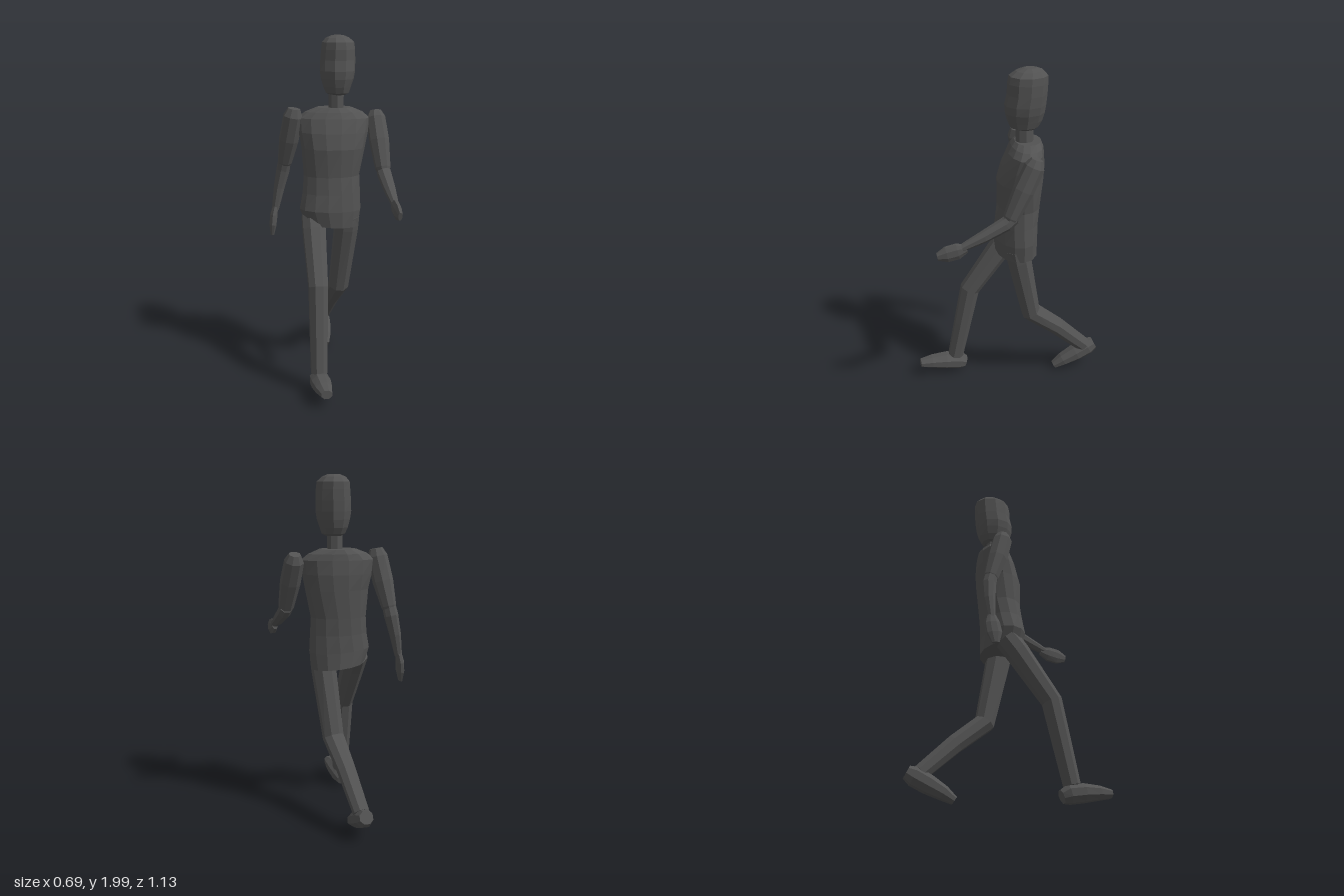
import * as THREE from 'three';

const V = (x, y, z) => new THREE.Vector3(x, y, z);

// Skin a closed, faceted tube through rings { c, a, b }: centre plus two half-axis vectors
function skin(rings, sides, phase) {
  const pos = [], idx = [], n = rings.length;
  for (const { c, a, b, tilt = 0 } of rings) {
    for (let j = 0; j < sides; j++) {
      const t = phase + (j / sides) * Math.PI * 2;
      const p = c.clone().addScaledVector(a, Math.cos(t)).addScaledVector(b, Math.sin(t));
      p.y += tilt * (p.x - c.x);
      pos.push(p.x, p.y, p.z);
    }
  }
  pos.push(...rings[0].c.toArray(), ...rings[n - 1].c.toArray());
  const first = n * sides, last = first + 1;
  for (let j = 0; j < sides; j++) {
    const k = (j + 1) % sides;
    for (let i = 0; i < n - 1; i++) {
      const p = i * sides, q = p + sides;
      idx.push(p + j, p + k, q + k, p + j, q + k, q + j);
    }
    const e = (n - 1) * sides;
    idx.push(first, k, j, last, e + j, e + k);
  }
  const g = new THREE.BufferGeometry();
  g.setAttribute('position', new THREE.Float32BufferAttribute(pos, 3));
  g.setIndex(idx);
  const flat = g.toNonIndexed();
  flat.computeVertexNormals();
  return flat;
}

// Eight-sided limb; points are [x, y, z, half width, half thickness], rings square to the path
function limb(points) {
  const c = points.map(p => V(p[0], p[1], p[2]));
  const k = 1 / Math.cos(Math.PI / 8);
  const rings = points.map((p, i) => {
    const t = V(0, 0, 0);
    if (i > 0) t.add(c[i].clone().sub(c[i - 1]).normalize());
    if (i < c.length - 1) t.add(c[i + 1].clone().sub(c[i]).normalize());
    t.normalize();
    const a = V(1, 0, 0).addScaledVector(t, -t.x).normalize();
    const b = t.clone().cross(a);
    return { c: c[i], a: a.multiplyScalar(p[3] * k), b: b.multiplyScalar((p[4] ?? p[3]) * k) };
  });
  return skin(rings, 8, Math.PI / 8);
}

// Body of level rings, listed upward: [y, x min, x max, z back, z front, yaw, tilt]
function stack(levels, sides) {
  return skin(levels.map(([y, x0, x1, z0, z1, yaw = 0, tilt = 0]) => {
    const a = V((x1 - x0) / 2, 0, 0), b = V(0, 0, -(z1 - z0) / 2), up = V(0, 1, 0);
    return {
      c: V((x0 + x1) / 2, y, (z0 + z1) / 2), tilt,
      a: a.applyAxisAngle(up, yaw), b: b.applyAxisAngle(up, yaw),
    };
  }), sides, 0);
}

export function createModel() {
  const group = new THREE.Group();
  group.name = 'walkingFigure';
  const grey = new THREE.MeshStandardMaterial({ color: 0x525252, flatShading: true });
  grey.name = 'dark grey';
  const add = (name, geometry) => {
    const m = new THREE.Mesh(geometry, grey);
    m.name = name;
    group.add(m);
  };

  // Torso: hips turn one way, shoulders the other
  add('torso', stack([
    [0.905, -0.145, 0.175, -0.15, 0.09, 0.1, -0.08],
    [1.0, -0.18, 0.19, -0.15, 0.1, 0.1, -0.04],
    [1.1, -0.16, 0.185, -0.155, 0.09, 0.05],
    [1.2, -0.15, 0.18, -0.165, 0.08, 0],
    [1.36, -0.16, 0.21, -0.18, 0.085, -0.1],
    [1.45, -0.175, 0.23, -0.185, 0.06, -0.12],
    [1.53, -0.18, 0.24, -0.18, 0.025, -0.12],
    [1.565, -0.135, 0.2, -0.175, 0.005, -0.1],
    [1.59, -0.07, 0.14, -0.165, -0.015, -0.1],
  ], 14));

  // Neck and head
  add('neck', stack([
    [1.56, 0, 0.09, -0.12, -0.02],
    [1.7, 0, 0.09, -0.12, -0.02],
  ], 8));
  add('head', stack([
    [1.663, 0.01, 0.1, -0.13, -0.02],
    [1.675, -0.015, 0.12, -0.145, 0.015],
    [1.71, -0.03, 0.132, -0.165, 0.03],
    [1.755, -0.043, 0.148, -0.178, 0.042],
    [1.8, -0.05, 0.156, -0.185, 0.045],
    [1.86, -0.046, 0.158, -0.19, 0.032],
    [1.92, -0.04, 0.157, -0.193, 0.03],
    [1.96, -0.035, 0.152, -0.193, 0.022],
    [1.985, -0.012, 0.125, -0.17, -0.015],
    [2.0, 0.025, 0.09, -0.13, -0.06],
  ], 10));

  // Left arm swings forward
  add('leftUpperArm', limb([
    [0.28, 1.565, -0.085, 0.032], [0.281, 1.525, -0.07, 0.052],
    [0.29, 1.4, -0.01, 0.055], [0.3, 1.25, 0.06, 0.042], [0.302, 1.215, 0.078, 0.03],
  ]));
  add('leftForearm', limb([
    [0.302, 1.25, 0.045, 0.036], [0.304, 1.215, 0.09, 0.038],
    [0.308, 1.155, 0.21, 0.032], [0.311, 1.1, 0.335, 0.02],
  ]));
  add('leftHand', limb([
    [0.311, 1.095, 0.31, 0.016, 0.024], [0.311, 1.082, 0.36, 0.022, 0.045],
    [0.311, 1.07, 0.42, 0.02, 0.045], [0.311, 1.06, 0.472, 0.011, 0.022],
  ]));

  // Right arm hangs behind
  add('rightUpperArm', limb([
    [-0.198, 1.585, -0.08, 0.035], [-0.205, 1.54, -0.085, 0.054],
    [-0.228, 1.4, -0.12, 0.055], [-0.25, 1.26, -0.162, 0.04], [-0.254, 1.235, -0.17, 0.03],
  ]));
  add('rightForearm', limb([
    [-0.25, 1.27, -0.16, 0.036], [-0.26, 1.21, -0.175, 0.038],
    [-0.285, 1.1, -0.178, 0.031], [-0.31, 0.97, -0.17, 0.02],
  ]));
  add('rightHand', limb([
    [-0.31, 0.985, -0.172, 0.016, 0.024], [-0.32, 0.935, -0.168, 0.021, 0.04],
    [-0.327, 0.875, -0.158, 0.02, 0.042], [-0.332, 0.815, -0.152, 0.01, 0.02],
  ]));

  // Right leg steps forward
  add('rightLeg', limb([
    [-0.098, 0.96, -0.03, 0.066], [-0.1, 0.88, 0.035, 0.066],
    [-0.103, 0.6, 0.235, 0.054, 0.056], [-0.108, 0.36, 0.285, 0.05], [-0.113, 0.12, 0.335, 0.045],
  ]));
  add('rightFoot', limb([
    [-0.112, 0.057, 0.275, 0.036, 0.036], [-0.112, 0.073, 0.315, 0.052, 0.052],
    [-0.11, 0.086, 0.4, 0.054, 0.05], [-0.106, 0.093, 0.49, 0.046, 0.038],
    [-0.1, 0.094, 0.562, 0.03, 0.024],
  ]));

  // Left leg pushes off behind
  add('leftLeg', limb([
    [0.105, 0.96, -0.015, 0.068], [0.1, 0.88, -0.03, 0.068],
    [0.068, 0.495, -0.112, 0.058, 0.056], [0.043, 0.35, -0.285, 0.05], [0.016, 0.165, -0.475, 0.043],
  ]));
  add('leftFoot', limb([
    [0.01, 0.165, -0.547, 0.038, 0.036], [0.01, 0.145, -0.505, 0.05, 0.052],
    [0.01, 0.108, -0.43, 0.052, 0.05], [0.008, 0.065, -0.345, 0.044, 0.038],
    [0.006, 0.028, -0.285, 0.028, 0.022],
  ]));

  // Rest the lowest toe on the ground
  const box = new THREE.Box3().setFromObject(group);
  for (const m of group.children) m.geometry.translate(0, -box.min.y, 0);
  return group;
}
